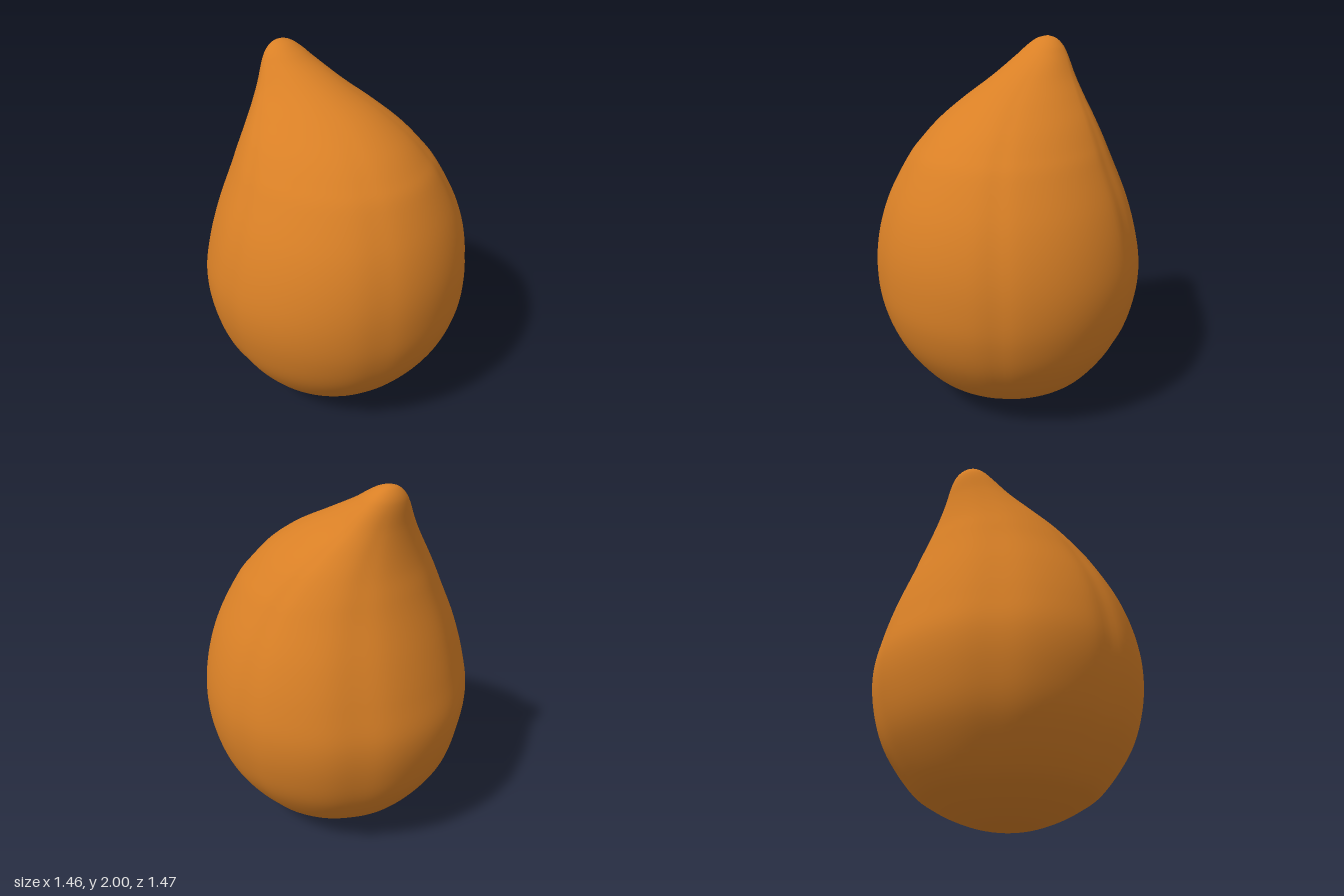
import * as THREE from 'three';

// Cross-sections from base to tip: height, half width, front z, back z, z of the widest place
const SECTIONS = [
  [0, 0, 0, 0, 0], [0.012, 0.13, 0.13, -0.13, 0], [0.05, 0.26, 0.255, -0.26, 0],
  [0.11, 0.385, 0.375, -0.385, 0], [0.2, 0.505, 0.495, -0.505, 0], [0.4, 0.643, 0.64, -0.645, 0],
  [0.6, 0.71, 0.715, -0.712, 0], [0.8, 0.73, 0.735, -0.73, 0], [1.0, 0.702, 0.72, -0.688, 0],
  [1.2, 0.637, 0.665, -0.63, -0.01], [1.4, 0.535, 0.567, -0.56, -0.04],
  [1.5, 0.472, 0.49, -0.527, -0.08], [1.6, 0.398, 0.385, -0.495, -0.13],
  [1.7, 0.307, 0.235, -0.472, -0.2], [1.8, 0.215, 0.035, -0.457, -0.28],
  [1.9, 0.14, -0.165, -0.45, -0.34], [1.95, 0.1, -0.25, -0.437, -0.36],
  [1.985, 0.055, -0.315, -0.41, -0.37], [2, 0, -0.375, -0.375, -0.375],
];

// Soft lengthwise grooves: angle from the front, depth, angular width
const GROOVES = [
  [0.55, 0.012, 0.09], [1.75, 0.016, 0.1], [2.6, 0.018, 0.16],
  [-0.55, 0.008, 0.12], [-1.75, 0.016, 0.1], [-2.6, 0.018, 0.16],
];

function grooveDepth(angle, y) {
  const fade = Math.sin(Math.PI * Math.max(0, Math.min(1, y / 1.9))) ** 0.7;
  let depth = 0;
  for (const [a, d, w] of GROOVES) {
    const delta = Math.atan2(Math.sin(angle - a), Math.cos(angle - a));
    depth += d * Math.exp(-((delta / w) ** 2));
  }
  return depth * fade;
}

function bodyGeometry(rings = 110, sides = 128) {
  // One curve along each of the front, back and widest lines
  const [front, back, widest] = [2, 3, 4].map((column) => new THREE.CatmullRomCurve3(
    SECTIONS.map((s) => new THREE.Vector3(s[1], s[0], s[column])), false, 'catmullrom', 0.5));
  const positions = [];
  const indices = [];
  for (let i = 0; i <= rings; i++) {
    const t = i / rings;
    const { x: width, y, z: centre } = widest.getPoint(t);
    const frontDepth = front.getPoint(t).z - centre;
    const backDepth = centre - back.getPoint(t).z;
    for (let j = 0; j < sides; j++) {
      const a = (j / sides) * Math.PI * 2;
      const c = Math.cos(a);
      const dent = 1 - grooveDepth(a, y);
      const depth = c > 0 ? frontDepth : backDepth;
      positions.push(width * Math.sin(a) * dent, y, centre + depth * c * dent);
      if (i === rings) continue;
      const k = (j + 1) % sides;
      const lo = i * sides;
      const hi = lo + sides;
      if (i > 0) indices.push(lo + j, lo + k, hi + k);
      if (i < rings - 1) indices.push(lo + j, hi + k, hi + j);
    }
  }
  const geometry = new THREE.BufferGeometry();
  geometry.setAttribute('position', new THREE.Float32BufferAttribute(positions, 3));
  geometry.setIndex(indices);
  geometry.computeVertexNormals();
  return geometry;
}

export function createModel() {
  const group = new THREE.Group();
  group.name = 'seed';
  const shell = new THREE.MeshStandardMaterial({ color: 0xd98026 });
  shell.name = 'orange brown shell';

  // Plump body drawn up to a tip that leans to the back
  const body = new THREE.Mesh(bodyGeometry(), shell);
  body.name = 'seedBody';
  group.add(body);
  return group;
}
